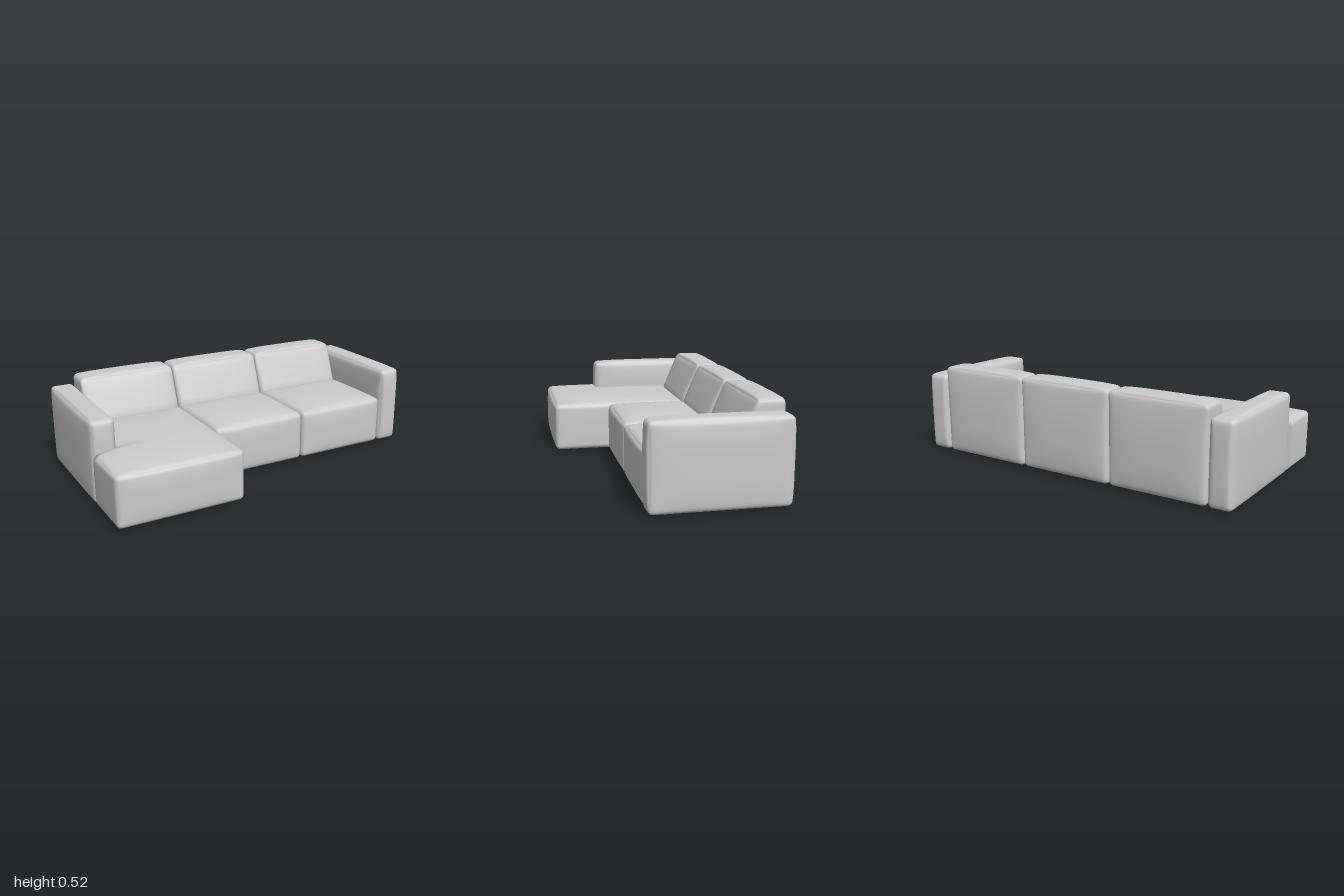
import * as THREE from 'three';
import { mergeVertices } from 'three/addons/utils/BufferGeometryUtils.js';

const material = new THREE.MeshStandardMaterial({ color: 0xcccccc });

// Upholstered block: a box with rounded edges whose sides and top swell outwards.
// x, y, z are [min, max]; swell is [x, top, z]; warp reshapes the finished points.
function upholstery(name, x, y, z, swell, { radius = 0.025, segments = 24, warp } = {}) {
  const ranges = [x, y, z];
  const half = ranges.map(([a, b]) => (b - a) / 2);
  const mid = ranges.map(([a, b]) => (a + b) / 2);
  let geometry = new THREE.BoxGeometry(2, 2, 2, segments, segments, segments);
  geometry.deleteAttribute('uv');
  geometry.deleteAttribute('normal');
  geometry = mergeVertices(geometry);

  const position = geometry.attributes.position;
  const point = new THREE.Vector3(), inner = new THREE.Vector3();
  for (let i = 0; i < position.count; i++) {
    point.fromBufferAttribute(position, i);
    // gather the grid lines towards the edges
    const u = point.toArray().map((t) => Math.sin(t * Math.PI / 2));
    point.set(...u.map((v, k) => v * half[k]));
    // round the edges
    inner.set(...point.toArray().map((v, k) =>
      THREE.MathUtils.clamp(v, radius - half[k], half[k] - radius)));
    point.sub(inner).setLength(radius).add(inner);
    // swell the faces
    const fade = u.map((v) => 1 - v ** 4);
    point.x += swell[0] * u[0] * fade[1] * fade[2];
    point.y += swell[1] * Math.max(u[1], 0) * fade[0] * fade[2];
    point.z += swell[2] * u[2] * fade[0] * fade[1];
    point.add(inner.set(...mid));
    if (warp) warp(point);
    position.setXYZ(i, point.x, point.y, point.z);
  }
  geometry.computeVertexNormals();
  const mesh = new THREE.Mesh(geometry, material);
  mesh.name = name;
  return mesh;
}

export function createModel() {
  const sofa = new THREE.Group();
  sofa.name = 'cornerSofa';
  const floor = 0.007;
  const edges = [-0.853, -0.284, 0.284, 0.853];

  // Backrests, with the front leaning back above the seat
  const lean = (p) => {
    const forward = (p.z + 0.515) / 0.235;
    p.z -= 0.085 * forward * THREE.MathUtils.clamp((p.y - 0.29) / 0.21, 0, 1);
  };
  for (let i = 0; i < 3; i++) {
    sofa.add(upholstery('backrest', [edges[i] + 0.002, edges[i + 1] - 0.002],
      [floor, 0.512], [-0.515, -0.28], [0, 0.012, 0.018], { warp: lean }));
  }

  // Two standard seats
  for (let i = 1; i < 3; i++) {
    sofa.add(upholstery('seat', [edges[i] + 0.002, edges[i + 1] - 0.002],
      [floor, 0.288], [-0.29, 0.195], [0, 0.022, 0.012]));
  }

  // Chaise: one L-shaped block, narrowed where it passes the armrest
  const passArmrest = (p) => {
    if (p.z >= 0.2) return;
    p.x = -0.286 + (p.x + 0.286) * 0.567 / 0.699;
    if (p.z > 0.17) p.z = 0.207;
  };
  sofa.add(upholstery('chaise', [-0.985, -0.286], [floor, 0.288], [-0.28, 0.52],
    [0.005, 0.022, 0.014], { segments: 40, warp: passArmrest }));

  // Armrests
  for (const side of [-1, 1]) {
    const x = [side * 0.857, side * 0.988].sort((a, b) => a - b);
    sofa.add(upholstery(side > 0 ? 'leftArmrest' : 'rightArmrest', x,
      [floor, 0.458], [-0.515, 0.197], [0.012, 0.007, 0.01]));
  }

  // Small glides under every module
  const glideGeometry = new THREE.CylinderGeometry(0.01, 0.01, 0.012, 16);
  const addGlides = (xs, zs) => {
    for (const x of xs) for (const z of zs) {
      const glide = new THREE.Mesh(glideGeometry, material);
      glide.name = 'glide';
      glide.position.set(x, 0.006, z);
      sofa.add(glide);
    }
  };
  for (let i = 0; i < 3; i++) {
    addGlides([edges[i] + 0.06, edges[i + 1] - 0.06], [-0.46, i ? 0.14 : 0.46]);
  }
  addGlides([-0.922, 0.922], [-0.46, 0.14]);
  return sofa;
}
